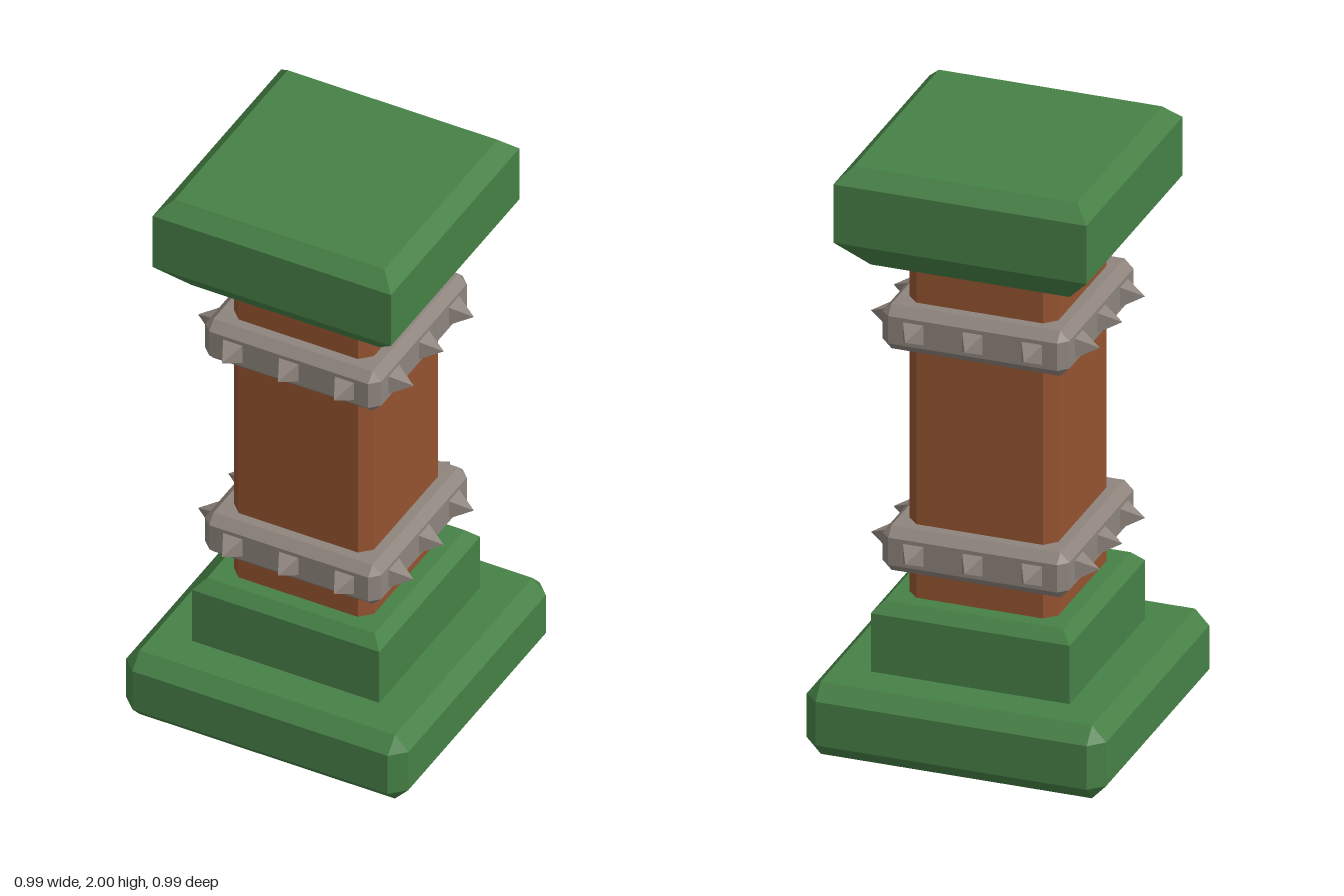
import * as THREE from 'three';

const mat = (name, color) => new THREE.MeshStandardMaterial({ name, color, flatShading: true });

// Square ring with half width h at height y; c cuts the corners
function ring([y, h, c = 0]) {
  const k = h - c;
  return [[h, -k], [h, k], [k, h], [-k, h], [-h, k], [-h, -k], [-k, -h], [k, -h]]
    .map(([x, z]) => new THREE.Vector3(x, y, z));
}

// Closed solid lofted through square rings, listed from bottom to top
function squareLoft(profile) {
  const rings = profile.map(ring);
  const pos = [];
  const tri = (a, b, c) => {
    if (a.distanceTo(b) < 1e-6 || b.distanceTo(c) < 1e-6 || c.distanceTo(a) < 1e-6) return;
    for (const p of [a, b, c]) pos.push(p.x, p.y, p.z);
  };
  for (let r = 0; r < rings.length - 1; r++) {
    const lo = rings[r], hi = rings[r + 1];
    for (let i = 0; i < 8; i++) {
      const j = (i + 1) % 8;
      tri(lo[i], hi[i], lo[j]);
      tri(lo[j], hi[i], hi[j]);
    }
  }
  const bottom = rings[0], top = rings[rings.length - 1];
  for (let i = 1; i < 7; i++) {
    tri(bottom[0], bottom[i], bottom[i + 1]);
    tri(top[0], top[i + 1], top[i]);
  }
  const geo = new THREE.BufferGeometry();
  geo.setAttribute('position', new THREE.Float32BufferAttribute(pos, 3));
  geo.computeVertexNormals();
  return geo;
}

export function createModel() {
  const green = mat('green stone', 0x468046);
  const brown = mat('brown shaft', 0x955330);
  const grey = mat('grey metal', 0x8e847d);
  const model = new THREE.Group();
  model.name = 'pillar';

  const add = (parent, name, geo, material) => {
    const mesh = new THREE.Mesh(geo, material);
    mesh.name = name;
    parent.add(mesh);
    return mesh;
  };

  // Plinth, step, shaft and cap
  add(model, 'plinth', squareLoft([[0, 0.45], [0.05, 0.497, 0.047], [0.2, 0.497, 0.047], [0.25, 0.45]]), green);
  add(model, 'step', squareLoft([[0.25, 0.33], [0.45, 0.33], [0.487, 0.295]]), green);
  add(model, 'shaft', squareLoft([[0.487, 0.247, 0.037], [1.65, 0.247, 0.037]]), brown);
  add(model, 'cap', squareLoft([[1.65, 0.33], [1.75, 0.42], [1.95, 0.42], [2, 0.37]]), green);

  // Four-sided spike pointing along +z
  const spikeGeo = new THREE.ConeGeometry(0.034 * Math.SQRT2, 0.07, 4);
  spikeGeo.rotateY(Math.PI / 4).rotateX(Math.PI / 2).translate(0, 0, 0.345);
  const bandGeo = squareLoft([[-0.077, 0.28], [-0.047, 0.31, 0.03], [0.047, 0.31, 0.03], [0.077, 0.28]]);

  // Two bevelled bands, each with three spikes per side
  for (const [name, y] of [['lowerBand', 0.663], ['upperBand', 1.425]]) {
    const group = new THREE.Group();
    group.name = name;
    group.position.y = y;
    add(group, 'band', bandGeo, grey);
    for (let side = 0; side < 4; side++) {
      const row = new THREE.Group();
      row.name = 'spikeRow';
      row.rotation.y = side * Math.PI / 2;
      for (const x of [-0.197, 0, 0.197]) add(row, 'spike', spikeGeo, grey).position.x = x;
      group.add(row);
    }
    model.add(group);
  }
  return model;
}
